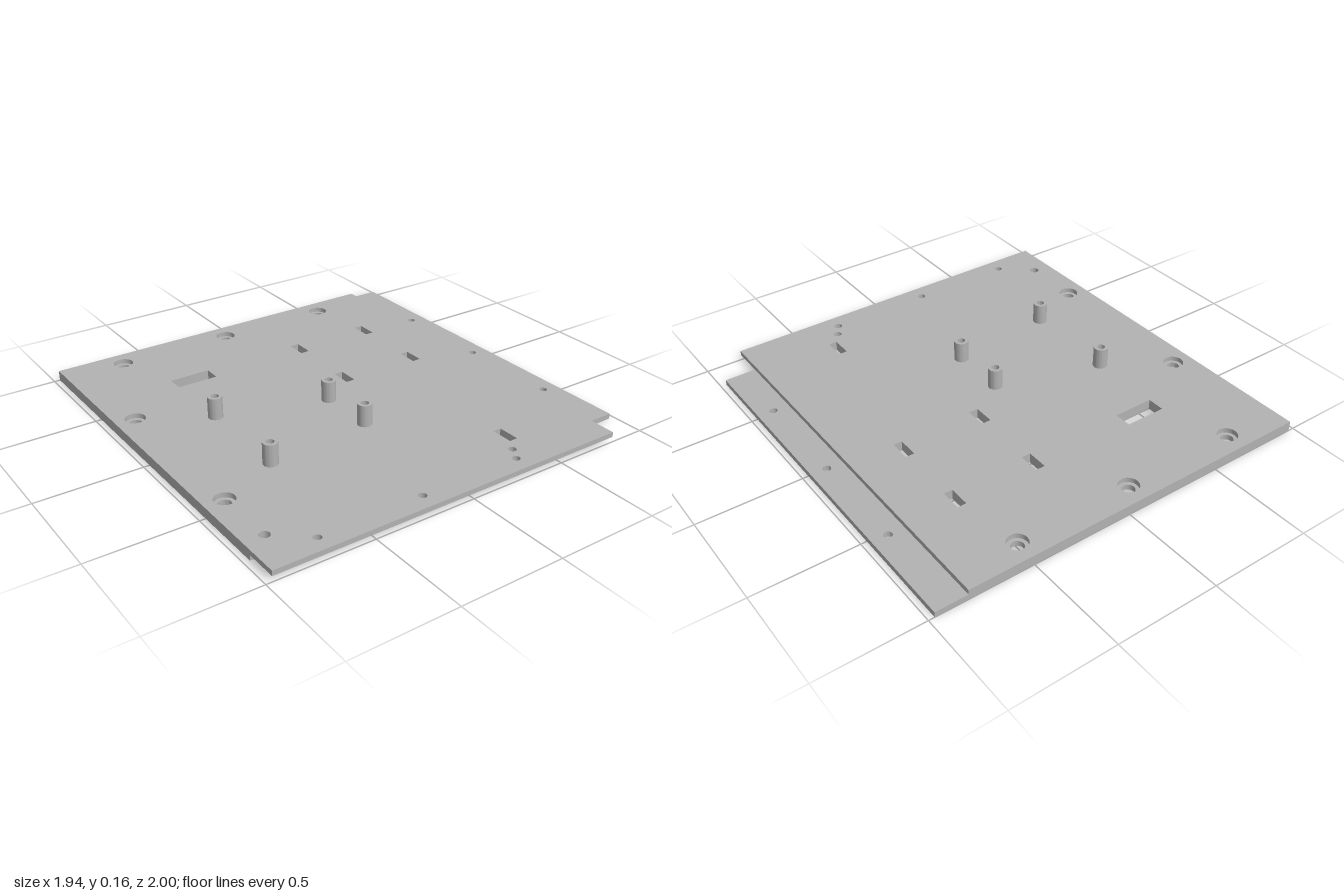
import * as THREE from 'three';
import { toCreasedNormals } from 'three/addons/utils/BufferGeometryUtils.js';

// Plan positions are [x, z]; shapes are drawn in (x, -z) and laid flat.
const mounts = [[-0.67, -0.9], [-0.08, -0.9], [0.51, -0.9], [-0.875, -0.335], [-0.875, 0.485]];
const posts = [[-0.565, -0.14], [-0.045, 0.017], [-0.045, 0.302], [-0.577, 0.355]];
const frontHoles = [[-0.72, 0.92], [-0.208, 0.92], [0.305, 0.92], [0.345, 0.853]];
const sideHoles = [[0.895, -0.542], [0.895, -0.03], [0.895, 0.485]];
const cornerHole = [[-0.875, 0.79]];
// Slots as [x0, x1, z0, z1]
const slots = [
  [-0.565, -0.36, -0.585, -0.5],
  [0.132, 0.178, -0.592, -0.488], [0.545, 0.588, -0.592, -0.488],
  [0.132, 0.178, -0.19, -0.086], [0.545, 0.588, -0.19, -0.086],
  [0.386, 0.428, 0.688, 0.795],
];

function drill(shape, points, r) {
  for (const [x, z] of points) {
    shape.holes.push(new THREE.Path().absarc(x, -z, r, 0, Math.PI * 2, true));
  }
}

function cutSlots(shape) {
  for (const [x0, x1, z0, z1] of slots) {
    shape.holes.push(new THREE.Path([[x0, z0], [x0, z1], [x1, z1], [x1, z0]]
      .map(([x, z]) => new THREE.Vector2(x, -z))));
  }
}

function slab(name, shape, y0, y1, material) {
  const extruded = new THREE.ExtrudeGeometry(shape, { depth: y1 - y0, bevelEnabled: false, curveSegments: 16 });
  extruded.rotateX(-Math.PI / 2).translate(0, y0, 0);
  const mesh = new THREE.Mesh(toCreasedNormals(extruded, 0.7), material);
  mesh.name = name;
  return mesh;
}

export function createModel() {
  const group = new THREE.Group();
  group.name = 'mountingPlate';
  const grey = new THREE.MeshStandardMaterial({ color: 0xb2b2b2 });
  grey.name = 'grey';

  // Lower plate, with a round nick where a front hole clips its edge
  const edge = 0.842, nickX = 0.345, nickZ = 0.853, nickR = 0.02;
  const a = Math.asin((nickZ - edge) / nickR);
  const lower = new THREE.Shape();
  lower.moveTo(-0.972, -edge);
  lower.lineTo(nickX - nickR * Math.cos(a), -edge);
  lower.absarc(nickX, -nickZ, nickR, Math.PI - a, a, true);
  lower.lineTo(0.972, -edge);
  lower.lineTo(0.972, 1);
  lower.lineTo(-0.972, 1);
  lower.closePath();
  drill(lower, mounts, 0.03);
  drill(lower, [...posts, ...sideHoles], 0.019);
  drill(lower, cornerHole, 0.024);
  cutSlots(lower);
  group.add(slab('lowerPlate', lower, 0, 0.026, grey));

  // Upper plate, with wider openings that form the counterbores
  const upper = new THREE.Shape([[-0.972, -1], [0.817, -1], [0.817, 1], [-0.972, 1]]
    .map(([x, y]) => new THREE.Vector2(x, y)));
  drill(upper, mounts, 0.048);
  drill(upper, [...posts, ...frontHoles], 0.019);
  drill(upper, cornerHole, 0.024);
  cutSlots(upper);
  group.add(slab('upperPlate', upper, 0.026, 0.05, grey));

  // Hollow standoffs
  for (const [x, z] of posts) {
    const ring = new THREE.Shape().absarc(x, -z, 0.035, 0, Math.PI * 2, false);
    drill(ring, [[x, z]], 0.019);
    group.add(slab('standoff', ring, 0.05, 0.156, grey));
  }
  return group;
}
